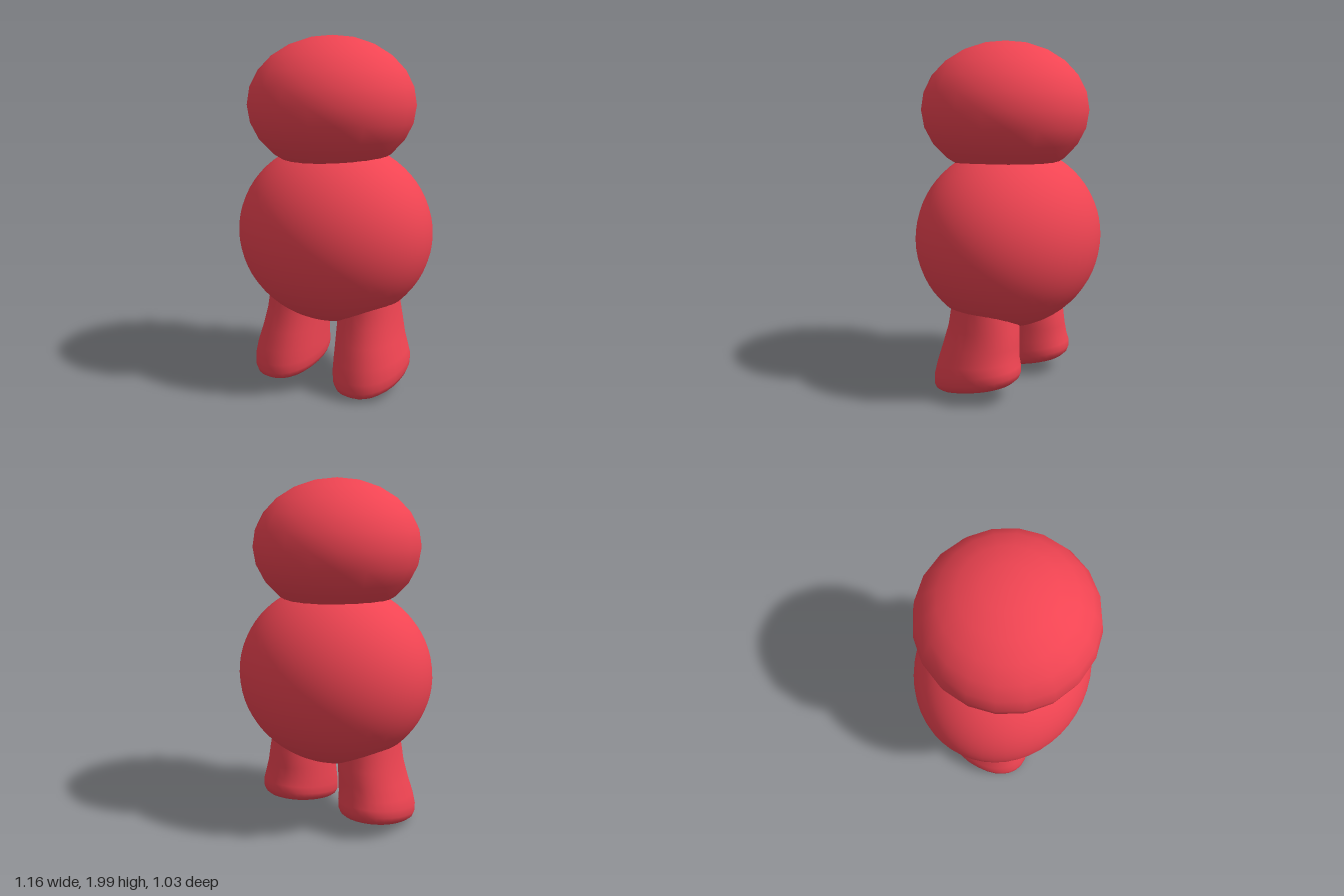
import * as THREE from 'three';

const red = new THREE.MeshStandardMaterial({ color: 0xf04452 });

// Ellipsoid part
function ellipsoid(name, radii, centre, segments, rings) {
  const mesh = new THREE.Mesh(new THREE.SphereGeometry(1, segments, rings), red);
  mesh.scale.set(...radii);
  mesh.position.set(...centre);
  mesh.name = name;
  return mesh;
}

// Leg cross-sections, top to sole: [y, centre x, radius x, centre z, radius z, forward tilt]
const sections = [
  [0.6, 0.245, 0.16, 0.01, 0.185, 0],
  [0.5, 0.245, 0.167, 0.01, 0.19, 0],
  [0.4, 0.252, 0.173, 0.008, 0.207, 0],
  [0.3, 0.262, 0.182, 0.02, 0.225, 0.04],
  [0.21, 0.275, 0.195, 0.032, 0.242, 0.12],
  [0.15, 0.28, 0.2, 0.035, 0.258, 0.19],
  [0.105, 0.28, 0.196, 0.035, 0.261, 0.21],
  [0.075, 0.28, 0.183, 0.036, 0.25, 0.21],
  [0.056, 0.28, 0.16, 0.037, 0.225, 0.21],
  [0.05, 0.28, 0.11, 0.037, 0.15, 0.21],
  [0.05, 0.28, 0, 0.037, 0, 0.21],
];

// Leg lofted through slightly squared ellipses, with a sloping sole
function leg(side) {
  const n = 28, points = [], index = [];
  const soften = (v) => Math.sign(v) * Math.abs(v) ** 0.9;
  sections.forEach(([y, cx, rx, cz, rz, tilt], i) => {
    for (let j = 0; j < n; j++) {
      const a = (j / n) * Math.PI * 2;
      const dz = rz * soften(Math.sin(a));
      points.push(side * cx + rx * soften(Math.cos(a)), y - tilt * dz, cz + dz);
      if (i === sections.length - 1) continue;
      const p = i * n + j, q = i * n + ((j + 1) % n);
      index.push(p, q, p + n);
      if (i < sections.length - 2) index.push(q, q + n, p + n);
    }
  });
  const geometry = new THREE.BufferGeometry();
  geometry.setAttribute('position', new THREE.Float32BufferAttribute(points, 3));
  geometry.setIndex(index);
  geometry.computeVertexNormals();
  // The centre of the sole takes the sole's own direction
  const normal = geometry.attributes.normal;
  for (let k = normal.count - n; k < normal.count; k++) normal.setXYZ(k, 0, -0.979, -0.205);
  const mesh = new THREE.Mesh(geometry, red);
  mesh.name = side > 0 ? 'leftLeg' : 'rightLeg';
  mesh.position.y = side > 0 ? 0.007 : -0.003;
  return mesh;
}

export function createModel() {
  const model = new THREE.Group();
  model.name = 'figure';
  model.add(
    ellipsoid('body', [0.58, 0.526, 0.515], [0, 0.89, 0], 48, 32),
    ellipsoid('head', [0.48, 0.383, 0.48], [0, 1.617, 0.025], 20, 12),
    leg(1),
    leg(-1),
  );
  return model;
}
